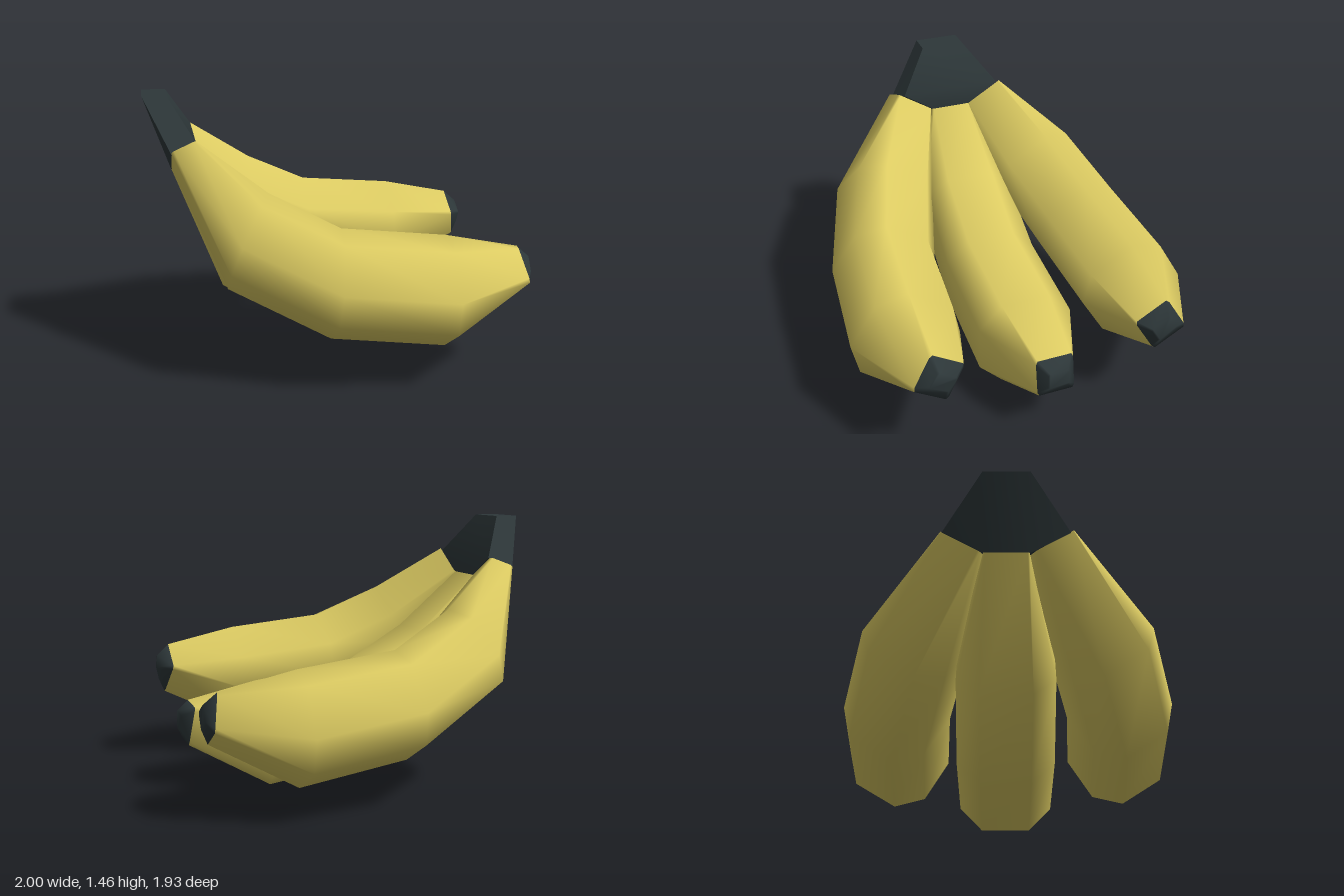
import * as THREE from 'three';
import { ConvexGeometry } from 'three/addons/geometries/ConvexGeometry.js';
import { toCreasedNormals } from 'three/addons/utils/BufferGeometryUtils.js';

const peel = new THREE.MeshStandardMaterial({ color: 0xdccb62 });
peel.name = 'yellowPeel';
const dark = new THREE.MeshStandardMaterial({ color: 0x2d3739 });
dark.name = 'darkStem';

const SIDES = 8;
const PIVOT_Y = 1.53; // the fruits fan out around this height
const CENTRE_Z = -0.02;

// Cross-sections from neck to tip: bottom x,y, top x,y, half width,
// half width of the flat top and bottom, height share of the side corners
const sections = [
  [-0.86, 1.06, -0.73, 1.12, 0.12, 0.11, 0.1],
  [-0.60, 0.38, -0.38, 0.81, 0.26, 0.14, 0.25],
  [-0.08, 0.08, -0.02, 0.60, 0.27, 0.14, 0.25],
  [0.53, 0.00, 0.53, 0.535, 0.27, 0.14, 0.25],
  [0.97, 0.26, 0.93, 0.465, 0.105, 0.095, 0.1],
  [1.00, 0.32, 1.00, 0.42, 0.06, 0.05, 0.1],
];

// Eight-sided loft with a dark tip
function bananaGeometry() {
  const positions = [];
  for (const [bx, by, tx, ty, w, flat, share] of sections) {
    const ring = [
      [flat, 0], [-flat, 0], [-w, share], [-w, 1 - share],
      [-flat, 1], [flat, 1], [w, 1 - share], [w, share],
    ];
    for (const [z, t] of ring) {
      positions.push(bx + (tx - bx) * t, by + (ty - by) * t - PIVOT_Y, z);
    }
  }
  const index = [];
  for (let i = 0; i < sections.length - 1; i++) {
    for (let j = 0; j < SIDES; j++) {
      const a = i * SIDES + j;
      const b = i * SIDES + (j + 1) % SIDES;
      index.push(a, b, b + SIDES, a, b + SIDES, a + SIDES);
    }
  }
  const tipStart = (sections.length - 2) * SIDES * 6;
  const last = (sections.length - 1) * SIDES;
  for (let j = 1; j < SIDES - 1; j++) index.push(last, last + j, last + j + 1);

  const geometry = new THREE.BufferGeometry();
  geometry.setAttribute('position', new THREE.Float32BufferAttribute(positions, 3));
  geometry.setIndex(index);
  geometry.addGroup(0, tipStart, 0);
  geometry.addGroup(tipStart, index.length - tipStart, 1);
  geometry.computeVertexNormals();
  return geometry;
}

// Shared stem: small flat top flaring into the three necks
function stemGeometry() {
  const points = [];
  const add = (x, y, halfWidth) => {
    for (const s of [-1, 1]) points.push(new THREE.Vector3(x, y, CENTRE_Z + s * halfWidth));
  };
  add(-1.0, 1.46, 0.125);
  add(-0.87, 1.46, 0.125);
  add(-0.73, 1.235, 0.29);
  add(-0.73, 1.12, 0.115);
  add(-0.86, 1.18, 0.335);
  add(-0.86, 1.06, 0.13);
  return toCreasedNormals(new ConvexGeometry(points), 0.9);
}

export function createModel() {
  const model = new THREE.Group();
  model.name = 'bananaBunch';

  const geometry = bananaGeometry();
  const fan = { leftBanana: -32.7, middleBanana: 0, rightBanana: 31 };
  for (const [name, degrees] of Object.entries(fan)) {
    const banana = new THREE.Mesh(geometry, [peel, dark]);
    banana.name = name;
    banana.position.set(0, PIVOT_Y, CENTRE_Z);
    banana.rotation.x = THREE.MathUtils.degToRad(degrees);
    model.add(banana);
  }

  const stem = new THREE.Mesh(stemGeometry(), dark);
  stem.name = 'stem';
  model.add(stem);
  return model;
}
